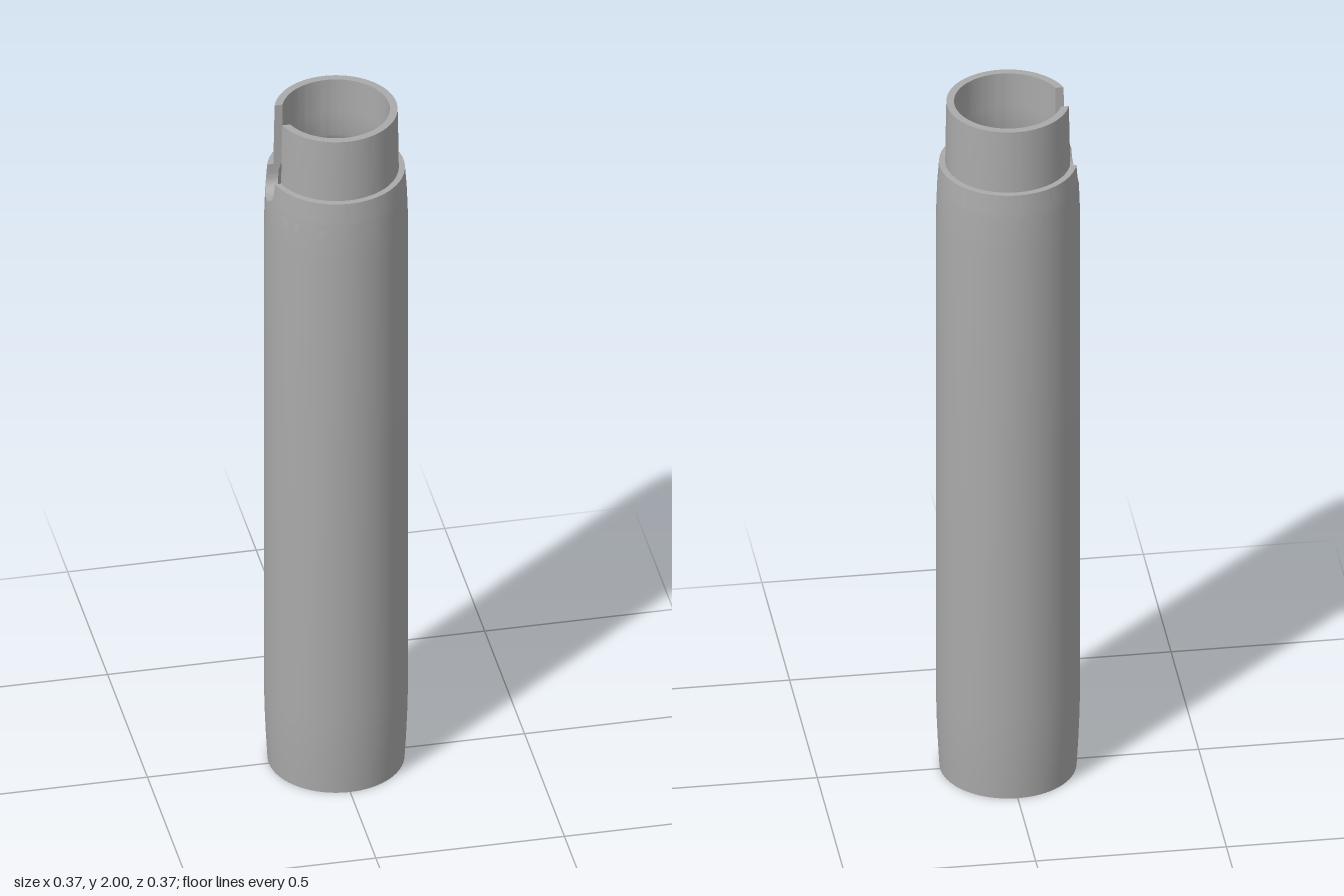
import * as THREE from 'three';
import { toCreasedNormals } from 'three/addons/utils/BufferGeometryUtils.js';

const SEGMENTS = 96;
const SLOT = { half: 0.048, centre: 1.793 }; // round-bottomed slot on the -x side

// [height, radius] profiles
const OUTER = [[0, 0.178], [0.07, 0.182], [0.14, 0.185], [0.22, 0.187], [1.64, 0.187], [1.70, 0.186],
  [1.76, 0.1835], [1.82, 0.179], [1.8203, 0.163], [1.9, 0.162], [2, 0.16]];
const INNER = [[0, 0.169], [1.64, 0.169], [1.745, 0.152], [1.8, 0.15], [1.83, 0.14], [2, 0.14]];

function radiusAt(profile, y) {
  for (let i = 1; i < profile.length; i++) {
    const [y0, r0] = profile[i - 1], [y1, r1] = profile[i];
    if (y <= y1) return r0 + (r1 - r0) * (y - y0) / (y1 - y0);
  }
  return profile[profile.length - 1][1];
}

// Half width of the slot at a given height
function slotHalf(y) {
  const d = SLOT.centre - y;
  if (d <= 0) return SLOT.half;
  return d >= SLOT.half - 1e-6 ? 0 : Math.sqrt(SLOT.half ** 2 - d ** 2);
}

// Ring of points running round from one slot edge to the other
function ring(profile, y) {
  const r = radiusAt(profile, y);
  const gap = Math.asin(slotHalf(y) / r);
  return Array.from({ length: SEGMENTS + 1 }, (_, j) => {
    const a = gap + (2 * Math.PI - 2 * gap) * j / SEGMENTS;
    return [-r * Math.cos(a), y, r * Math.sin(a)];
  });
}

function slottedTube() {
  const heights = [...OUTER, ...INNER].map(p => p[0]);
  for (let i = 0; i <= 12; i++) heights.push(SLOT.centre - SLOT.half * Math.sin(Math.PI / 2 * i / 12));
  const ys = [...new Set(heights)].sort((a, b) => a - b);
  const outer = ys.map(y => ring(OUTER, y)), inner = ys.map(y => ring(INNER, y));
  const pos = [];
  const quad = (a, b, c, d) => pos.push(...a, ...b, ...c, ...a, ...c, ...d);
  const top = ys.length - 1, N = SEGMENTS;

  for (let i = 0; i < top; i++) {
    const o = outer[i], O = outer[i + 1], n = inner[i], I = inner[i + 1];
    for (let j = 0; j < N; j++) {
      quad(o[j], o[j + 1], O[j + 1], O[j]); // outside
      quad(n[j + 1], n[j], I[j], I[j + 1]); // bore
    }
    // slot walls and rounded floor
    if (slotHalf(ys[i + 1]) > 0) {
      quad(n[0], o[0], O[0], I[0]);
      quad(o[N], n[N], I[N], O[N]);
    }
  }
  // end rims
  for (let j = 0; j < N; j++) {
    quad(inner[0][j], inner[0][j + 1], outer[0][j + 1], outer[0][j]);
    quad(outer[top][j], outer[top][j + 1], inner[top][j + 1], inner[top][j]);
  }
  const geometry = new THREE.BufferGeometry();
  geometry.setAttribute('position', new THREE.Float32BufferAttribute(pos, 3));
  return toCreasedNormals(geometry, Math.PI / 6);
}

export function createModel() {
  const group = new THREE.Group();
  group.name = 'slottedSleeve';
  const grey = new THREE.MeshStandardMaterial({ color: 0xaaaaaa });
  grey.name = 'grey';
  const tube = new THREE.Mesh(slottedTube(), grey);
  tube.name = 'tubeBody';
  group.add(tube);
  return group;
}
